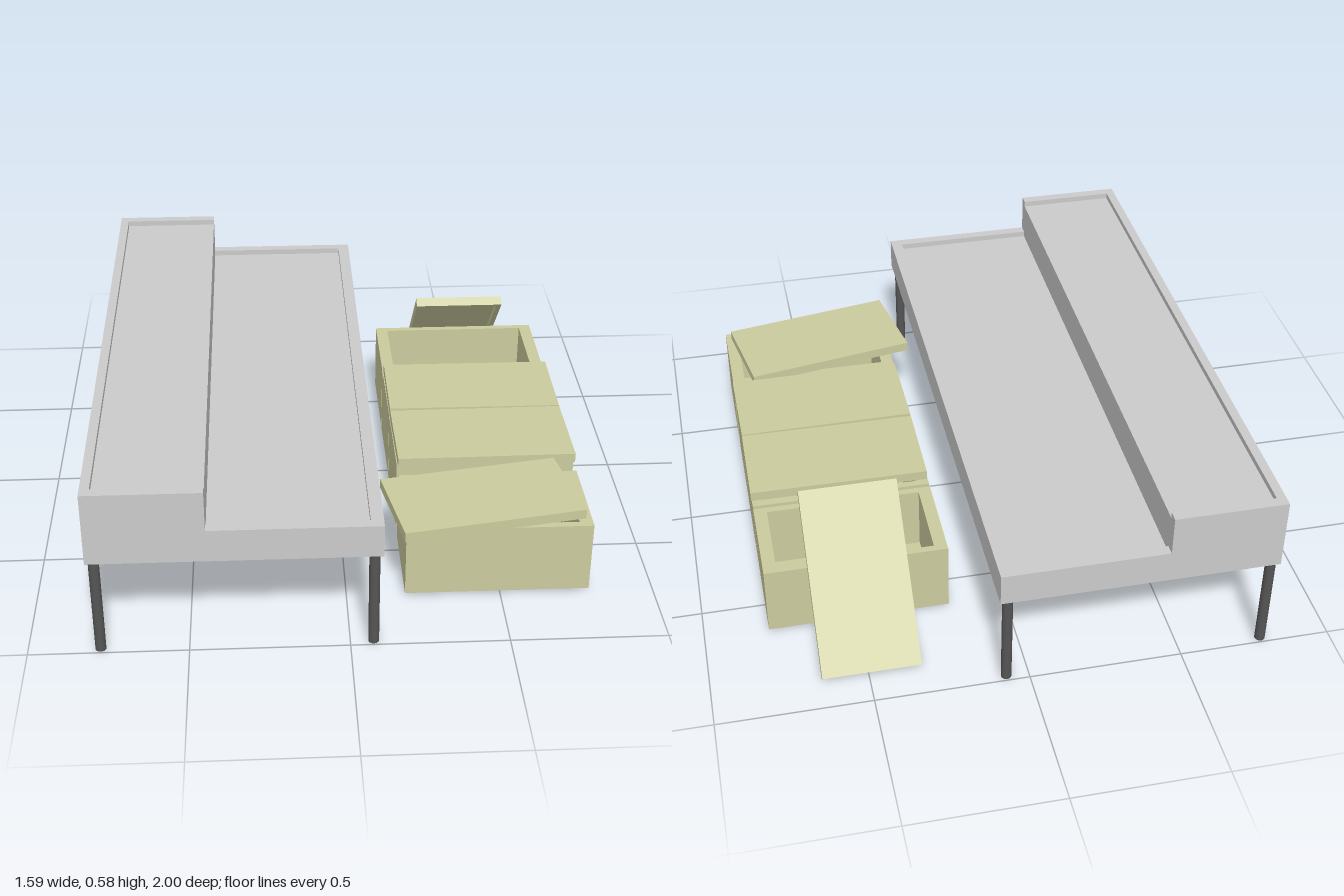
import * as THREE from 'three';

const grey = new THREE.MeshStandardMaterial({ color: 0xcbcbcb });
grey.name = 'light grey';
const dark = new THREE.MeshStandardMaterial({ color: 0x555555 });
dark.name = 'dark grey';
const straw = new THREE.MeshStandardMaterial({ color: 0xcbcb9e });
straw.name = 'pale straw';

function add(parent, name, geometry, material, x = 0, y = 0, z = 0) {
  const mesh = new THREE.Mesh(geometry, material);
  mesh.name = name;
  mesh.position.set(x, y, z);
  parent.add(mesh);
  return mesh;
}

const toShape = (points) => new THREE.Shape(points.map(([x, y]) => new THREE.Vector2(x, y)));
const extrude = (shape, depth) => new THREE.ExtrudeGeometry(shape, { depth, bevelEnabled: false });

// Rectangular ring standing upright from y = 0
function ring(width, depth, height, wallX, wallZ) {
  const rect = (w, d) => [[-w, -d], [w, -d], [w, d], [-w, d]];
  const shape = toShape(rect(width / 2, depth / 2));
  shape.holes.push(toShape(rect(width / 2 - wallX, depth / 2 - wallZ)));
  return extrude(shape, height).rotateX(-Math.PI / 2);
}

// Open box with thick walls
function makeBox(name, z) {
  const box = new THREE.Group();
  box.name = name;
  add(box, 'boxWalls', ring(0.6, 0.325, 0.225, 0.043, 0.024), straw, 0, 0.02, 0);
  add(box, 'boxFloor', new THREE.BoxGeometry(0.6, 0.02, 0.325), straw, 0, 0.01, 0);
  box.position.set(0.49, 0.01, z);
  return box;
}

// Lid, hollow on its underside, centred on its own middle
function makeLid(name, x, y, z) {
  const lid = new THREE.Group();
  lid.name = name;
  add(lid, 'lidRim', ring(0.6, 0.32, 0.018, 0.018, 0.018), straw, 0, -0.0165, 0);
  add(lid, 'lidPanel', new THREE.BoxGeometry(0.6, 0.015, 0.32), straw, 0, 0.009, 0);
  lid.position.set(x, y, z);
  return lid;
}

export function createModel() {
  const model = new THREE.Group();
  model.name = 'steppedBenchWithBoxes';

  // Stepped bench: trays with rims along both long edges
  const bench = new THREE.Group();
  bench.name = 'bench';
  model.add(bench);
  const trays = toShape([
    [-0.8, 0.335], [0.1, 0.335], [0.1, 0.445], [0.06, 0.445], [0.06, 0.425],
    [-0.435, 0.425], [-0.435, 0.56], [-0.77, 0.56], [-0.77, 0.58], [-0.8, 0.58],
  ]);
  add(bench, 'trays', extrude(trays, 1.93), grey, 0, 0, -0.965);

  // Raised end panels
  const end = toShape([
    [-0.8, 0.335], [0.1, 0.335], [0.1, 0.445], [-0.435, 0.445], [-0.435, 0.58], [-0.8, 0.58],
  ]);
  for (const z of [-1, 0.965]) add(bench, 'endPanel', extrude(end, 0.035), grey, 0, 0, z);

  // Legs
  const leg = new THREE.CylinderGeometry(0.017, 0.017, 0.335, 20);
  for (const x of [-0.775, 0.073])
    for (const z of [-0.978, 0.978]) add(bench, 'leg', leg, dark, x, 0.1675, z);

  // Row of boxes
  [0.592, 0.207, -0.128, -0.467].forEach((z, i) => model.add(makeBox('box' + (i + 1), z)));

  // Lids: one askew, two nearly square
  const askew = makeLid('askewLid', 0.447, 0.275, 0.612);
  askew.rotation.y = 0.176;
  const second = makeLid('secondLid', 0.492, 0.275, 0.224);
  second.rotation.y = 0.008;
  const third = makeLid('thirdLid', 0.492, 0.275, -0.106);
  third.rotation.y = -0.006;

  // Lid leaning on the rear box, its underside to the front
  const leaning = makeLid('leaningLid', 0.49, 0.229, -0.681);
  leaning.rotation.set(-0.8, Math.PI / 2, 0, 'XYZ');
  model.add(askew, second, third, leaning);

  return model;
}
